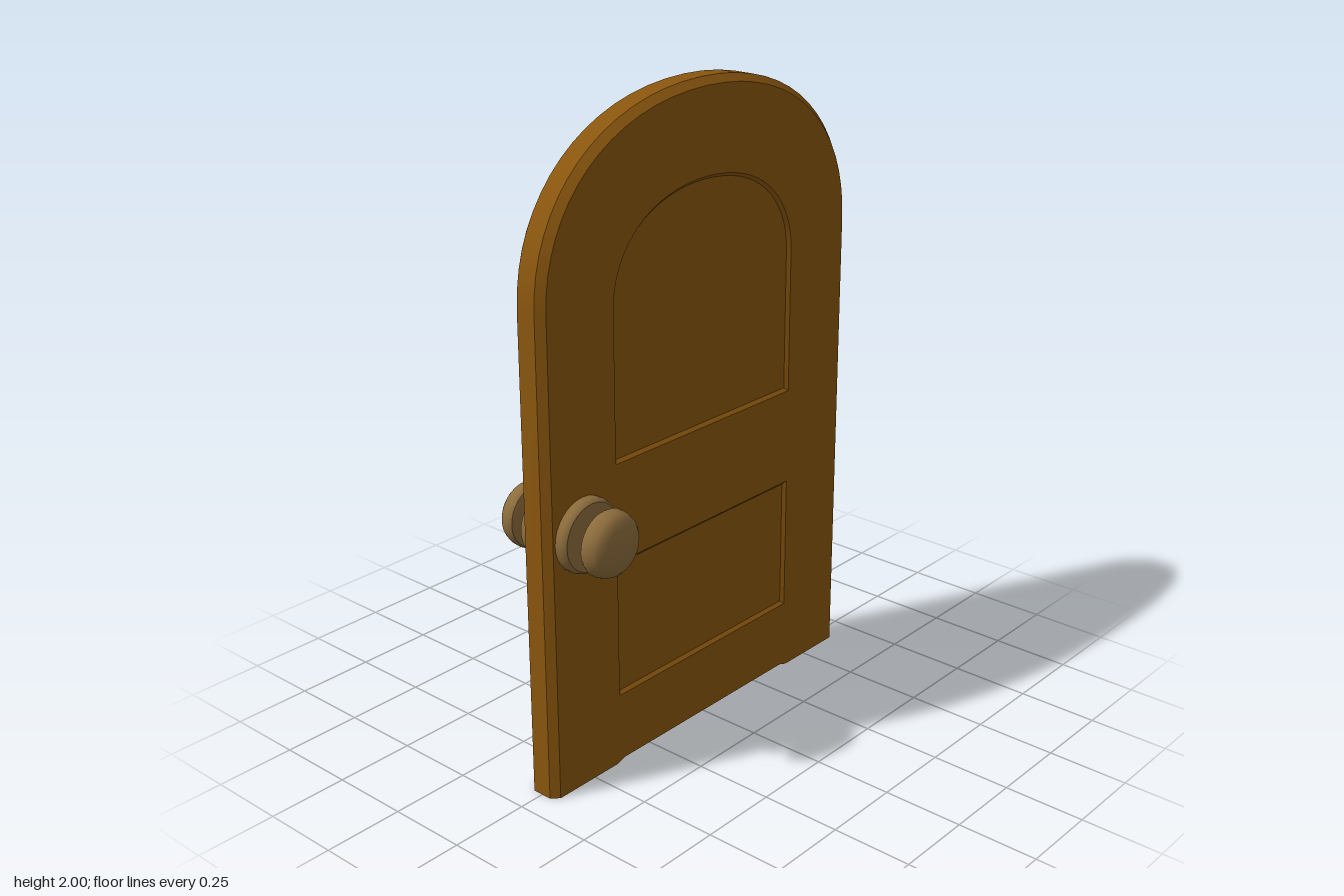
import * as THREE from 'three';
import { toCreasedNormals } from 'three/addons/utils/BufferGeometryUtils.js';

const wood = new THREE.MeshStandardMaterial({ color: 0x8a560e });
wood.name = 'wood';
const brass = new THREE.MeshStandardMaterial({ color: 0x8c6c3c });
brass.name = 'brass';

const BEVEL = 0.022;

// Adds the sides and rounded top of an arch to a path standing at (halfWidth, bottom)
function archTop(path, halfWidth, bottom, spring, top) {
  const rise = spring + (top - spring) * 0.57;
  const pull = halfWidth * 0.63;
  path.lineTo(halfWidth, spring);
  path.bezierCurveTo(halfWidth, rise, pull, top, 0, top);
  path.bezierCurveTo(-pull, top, -halfWidth, rise, -halfWidth, spring);
  path.lineTo(-halfWidth, bottom);
  return path;
}

function archPath(PathType, halfWidth, bottom, spring, top) {
  const path = new PathType();
  path.moveTo(halfWidth, bottom);
  archTop(path, halfWidth, bottom, spring, top);
  path.closePath();
  return path;
}

function rectPath(halfWidth, bottom, top) {
  const path = new THREE.Path();
  path.moveTo(-halfWidth, bottom);
  path.lineTo(halfWidth, bottom);
  path.lineTo(halfWidth, top);
  path.lineTo(-halfWidth, top);
  path.closePath();
  return path;
}

function addMesh(parent, name, geometry, material) {
  const mesh = new THREE.Mesh(geometry, material);
  mesh.name = name;
  parent.add(mesh);
  return mesh;
}

// Chamfered frame with two panel openings and a slightly raised bottom rail
function frameGeometry() {
  const shape = new THREE.Shape();
  shape.moveTo(-0.667, 0);
  shape.lineTo(-0.4, 0);
  shape.lineTo(-0.37, 0.01);
  shape.lineTo(0.37, 0.01);
  shape.lineTo(0.4, 0);
  shape.lineTo(0.667, 0);
  archTop(shape, 0.667, 0, 1.47, 2);
  shape.closePath();
  shape.holes.push(archPath(THREE.Path, 0.368, 0.99, 1.42, 1.7));
  shape.holes.push(rectPath(0.368, 0.25, 0.64));

  const geometry = new THREE.ExtrudeGeometry(shape, {
    depth: 0.064, curveSegments: 16, bevelEnabled: true, bevelSegments: 1,
    bevelSize: BEVEL, bevelThickness: BEVEL, bevelOffset: -BEVEL,
  });
  geometry.translate(0, 0, -0.032);

  // The foot is cut square: only the upright edges keep their chamfer
  const position = geometry.attributes.position;
  for (let i = 0; i < position.count; i++) {
    if (position.getY(i) < 0.1) {
      position.setY(i, Math.abs(position.getX(i)) < 0.385 ? 0.01 : 0);
    }
  }
  return toCreasedNormals(geometry, 0.5);
}

// Turned handle pointing along +z
function makeHandle(name) {
  const handle = new THREE.Group();
  handle.name = name;
  const turn = (partName, points) => {
    const profile = points.map(([r, z]) => new THREE.Vector2(r, z));
    const geometry = new THREE.LatheGeometry(profile, 32).rotateX(Math.PI / 2);
    addMesh(handle, partName, toCreasedNormals(geometry.toNonIndexed(), 0.6), brass);
  };
  turn('backPlate', [[0.112, 0.04], [0.112, 0.072], [0.108, 0.085], [0.102, 0.09], [0, 0.09]]);
  turn('stem', [[0.035, 0.08], [0.035, 0.14]]);
  turn('knob', [
    [0, 0.131], [0.085, 0.131], [0.095, 0.135], [0.1, 0.145], [0.098, 0.162],
    [0.091, 0.18], [0.08, 0.191], [0.06, 0.198], [0.03, 0.204], [0, 0.206],
  ]);
  return handle;
}

export function createModel() {
  const door = new THREE.Group();
  door.name = 'door';

  addMesh(door, 'frame', frameGeometry(), wood);

  // Panels sit just below the faces of the frame, on both sides
  const upper = new THREE.ExtrudeGeometry(
    archPath(THREE.Shape, 0.383, 0.975, 1.42, 1.714),
    { depth: 0.088, curveSegments: 16, bevelEnabled: false },
  );
  upper.translate(0, 0, -0.044);
  addMesh(door, 'upperPanel', upper, wood);

  const lower = new THREE.BoxGeometry(0.766, 0.42, 0.088);
  lower.translate(0, 0.445, 0);
  addMesh(door, 'lowerPanel', lower, wood);

  // A handle on each face
  ['frontHandle', 'backHandle'].forEach((name, i) => {
    const handle = makeHandle(name);
    handle.position.set(-0.525, 0.803, 0);
    handle.rotation.y = i * Math.PI;
    door.add(handle);
  });

  return door;
}
